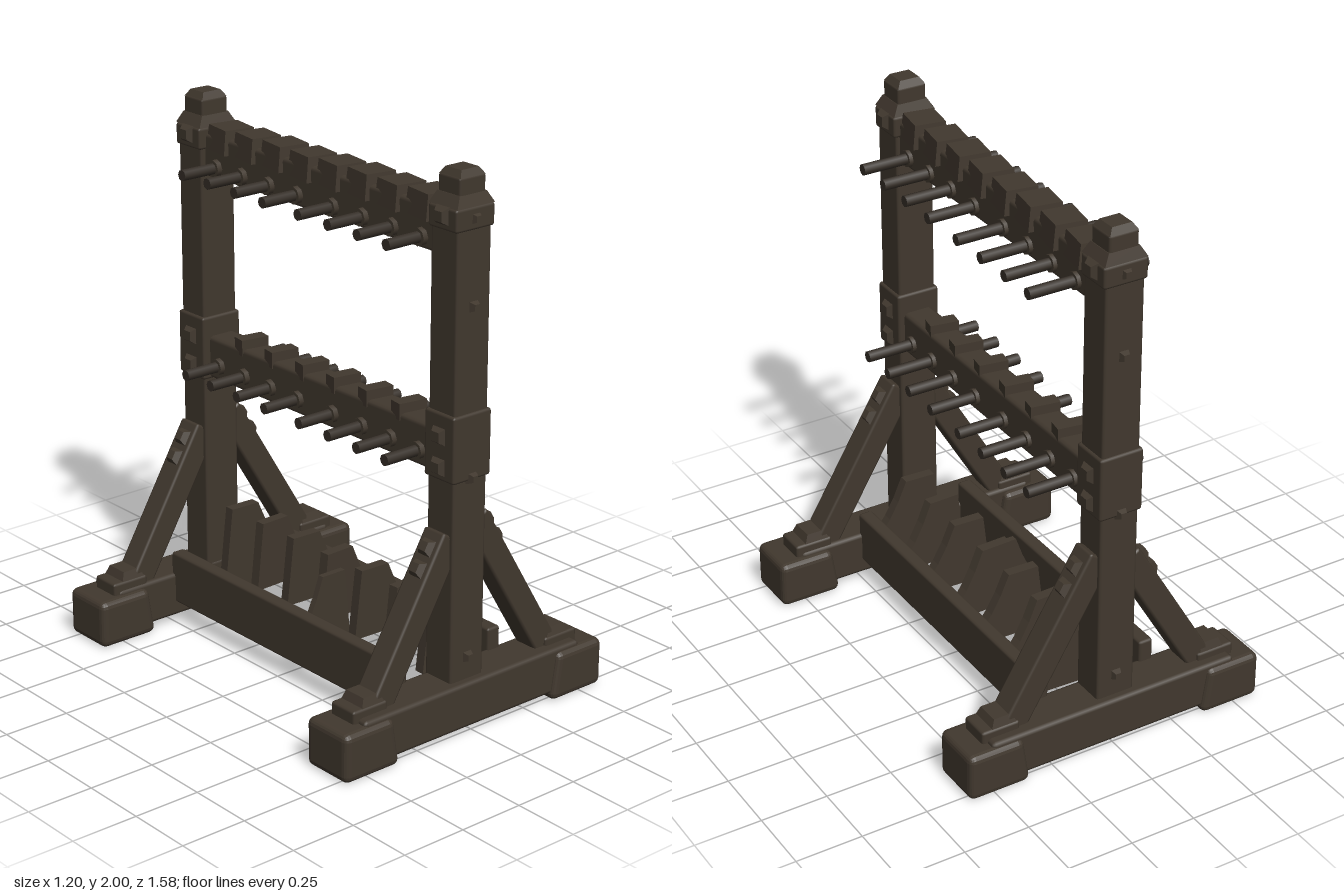
import * as THREE from 'three';
import { RoundedBoxGeometry } from 'three/addons/geometries/RoundedBoxGeometry.js';

const wood = new THREE.MeshStandardMaterial({ color: 0x41382e });
wood.name = 'dark wood';
const pegWood = new THREE.MeshStandardMaterial({ color: 0x352e27 });
pegWood.name = 'peg wood';

const CX = -0.015; // post centre line

export function createModel() {
  const root = new THREE.Group();
  root.name = 'weaponRack';

  const add = (parent, name, geo, x = 0, y = 0, z = 0, mat = wood) => {
    const m = new THREE.Mesh(geo, mat);
    m.name = name;
    m.position.set(x, y, z);
    parent.add(m);
    return m;
  };

  // Worn timber given by its extents
  const timber = (parent, name, x0, x1, y0, y1, z0, z1, r = 0.01) =>
    add(parent, name, new RoundedBoxGeometry(x1 - x0, y1 - y0, z1 - z0, 1, r),
      (x0 + x1) / 2, (y0 + y1) / 2, (z0 + z1) / 2);

  // Box whose top is narrower than its bottom
  const taper = (w, h, d, sx, sz) => {
    const g = new THREE.BoxGeometry(w, h, d).toNonIndexed();
    const p = g.attributes.position;
    for (let i = 0; i < p.count; i++)
      if (p.getY(i) > 0) p.setXYZ(i, p.getX(i) * sx, p.getY(i), p.getZ(i) * sz);
    g.computeVertexNormals();
    return g;
  };

  // Four-sided bolt head pointing along a direction
  const stud = (parent, x, y, z, dir, size = 0.04) => {
    const g = new THREE.CylinderGeometry(size * 0.5, size, 0.028, 4).toNonIndexed();
    g.rotateY(Math.PI / 4);
    g.computeVertexNormals();
    const m = add(parent, 'boltHead', g, x, y, z);
    m.quaternion.setFromUnitVectors(new THREE.Vector3(0, 1, 0), dir.clone().normalize());
  };

  // One end frame at each end: foot, post and braces
  for (const s of [1, -1]) {
    const frame = new THREE.Group();
    frame.name = s > 0 ? 'frontFrame' : 'backFrame';
    root.add(frame);
    const zc = s * 0.675;
    const out = new THREE.Vector3(0, 0, s);

    // Foot beam with heavy end blocks
    timber(frame, 'footBeam', -0.5, 0.5, 0.025, 0.195, s * 0.69 - 0.083, s * 0.69 + 0.083, 0.015);
    for (const e of [1, -1]) {
      const block = add(frame, 'footBlock', new RoundedBoxGeometry(0.24, 0.18, 0.21, 2, 0.025),
        e * 0.48, 0.09, s * 0.685);
      const p = block.geometry.attributes.position;
      for (let i = 0; i < p.count; i++) // lean the inner face inwards at the top
        if (p.getX(i) * e < 0 && p.getY(i) > 0) p.setX(i, p.getX(i) + e * 0.02);
      block.geometry.computeVertexNormals();
    }

    // Post, middle collar, top collar and cap
    timber(frame, 'post', CX - 0.075, CX + 0.075, 0.18, 1.88, zc - 0.065, zc + 0.065);
    timber(frame, 'middleCollar', CX - 0.085, CX + 0.085, 0.93, 1.17, zc - 0.074, zc + 0.074);
    timber(frame, 'topCollar', CX - 0.085, CX + 0.085, 1.8, 1.88, zc - 0.07, zc + 0.07);
    add(frame, 'collarSlope', taper(0.165, 0.04, 0.138, 0.72, 0.78), CX, 1.9, zc);
    timber(frame, 'postCap', CX - 0.057, CX + 0.057, 1.9, 1.98, zc - 0.054, zc + 0.054);
    add(frame, 'capTop', taper(0.11, 0.025, 0.105, 0.7, 0.7), CX, 1.9875, zc);

    // Bolt heads on the post
    for (const y of [1.85, 1.09, 0.98])
      for (const e of [1, -1])
        stud(frame, CX + e * 0.09, y, zc, new THREE.Vector3(e, 0, 0), 0.05);
    for (const y of [1.84, 1.54, 0.94, 0.28])
      stud(frame, CX, y, zc + s * (y === 0.94 ? 0.078 : 0.07), out, 0.03);

    // Diagonal braces with base pads and bolted tops
    for (const e of [1, -1]) {
      const a = new THREE.Vector2(e * 0.4, 0.17);
      const b = new THREE.Vector2(CX + e * 0.055, e > 0 ? 0.77 : 0.73);
      const d = b.clone().sub(a);
      const brace = add(frame, 'brace', new RoundedBoxGeometry(0.1, d.length(), 0.1, 1, 0.01),
        (a.x + b.x) / 2, (a.y + b.y) / 2, zc);
      brace.rotation.z = Math.atan2(d.y, d.x) - Math.PI / 2;
      timber(frame, 'bracePad', e * 0.445 - 0.075, e * 0.445 + 0.075, 0.17, 0.225, zc - 0.06, zc + 0.06);
      add(frame, 'padWedge', taper(0.1, 0.035, 0.11, 0.7, 0.8), e * 0.43, 0.238, zc);
      const n = new THREE.Vector3(e * Math.abs(d.y), Math.abs(d.x), 0).normalize();
      for (const t of [0.78, 0.9])
        stud(frame, a.x + d.x * t + n.x * 0.058, a.y + d.y * t + n.y * 0.058, zc, n, 0.045);
    }
  }

  // Two low rails between the feet
  for (const e of [1, -1])
    timber(root, 'lowRail', e * 0.218 - 0.028, e * 0.218 + 0.028, 0.08, 0.278, -0.63, 0.63);

  // Sloped divider plates standing behind the left low rail
  const shape = new THREE.Shape();
  shape.moveTo(-0.06, 0.16);
  shape.lineTo(0.2, 0.16);
  shape.lineTo(0.2, 0.22);
  shape.quadraticCurveTo(0.14, 0.29, 0.09, 0.42);
  shape.lineTo(-0.03, 0.42);
  shape.closePath();
  const plate = new THREE.ExtrudeGeometry(shape, { depth: 0.04, bevelEnabled: false, curveSegments: 3 });
  plate.translate(0, 0, -0.02);
  [0.55, 0.375, 0.19, 0, -0.19, -0.37, -0.55].forEach((z, i) => {
    add(root, 'divider', plate, 0, 0, z).rotation.y = (i % 2 ? 1 : -1) * 0.04;
  });

  // Single support plate on the other side
  const gusset = add(root, 'supportPlate', plate, -0.02, -0.05, 0.06);
  gusset.scale.set(0.85, 1, 0.6);
  gusset.rotation.y = Math.PI;

  // Upper and middle rails
  timber(root, 'topRail', -0.07, 0.045, 1.7, 1.86, -0.63, 0.63, 0.015);
  timber(root, 'middleRail', -0.07, 0.045, 0.935, 1.095, -0.63, 0.63, 0.015);

  // Slanted saddle blocks along the top rail
  for (let i = 0; i < 8; i++) {
    const m = add(root, 'saddleBlock', taper(0.135, 0.09, 0.13, 0.85, 0.93),
      CX + 0.003, 1.848 + (i % 3) * 0.002, -0.532 + i * 0.152);
    m.rotation.y = -0.16;
  }

  // Small blocks on the middle rail
  for (let i = 0; i < 6; i++)
    add(root, 'restBlock', new THREE.BoxGeometry(0.11, 0.06, 0.055), CX, 1.1, -0.425 + i * 0.171)
      .rotation.y = -0.16;

  // Round pegs through both rails
  const peg = new THREE.CylinderGeometry(0.021, 0.021, 0.46, 8);
  peg.rotateZ(Math.PI / 2);
  const collar = new THREE.CylinderGeometry(0.032, 0.032, 0.15, 8);
  collar.rotateZ(Math.PI / 2);
  for (const y of [1.745, 0.995])
    for (const z of [0.545, 0.4, 0.25, 0.095, -0.095, -0.25, -0.4, -0.545]) {
      add(root, 'peg', peg, 0.003, y, z, pegWood);
      add(root, 'pegCollar', collar, CX, y, z);
    }

  return root;
}
